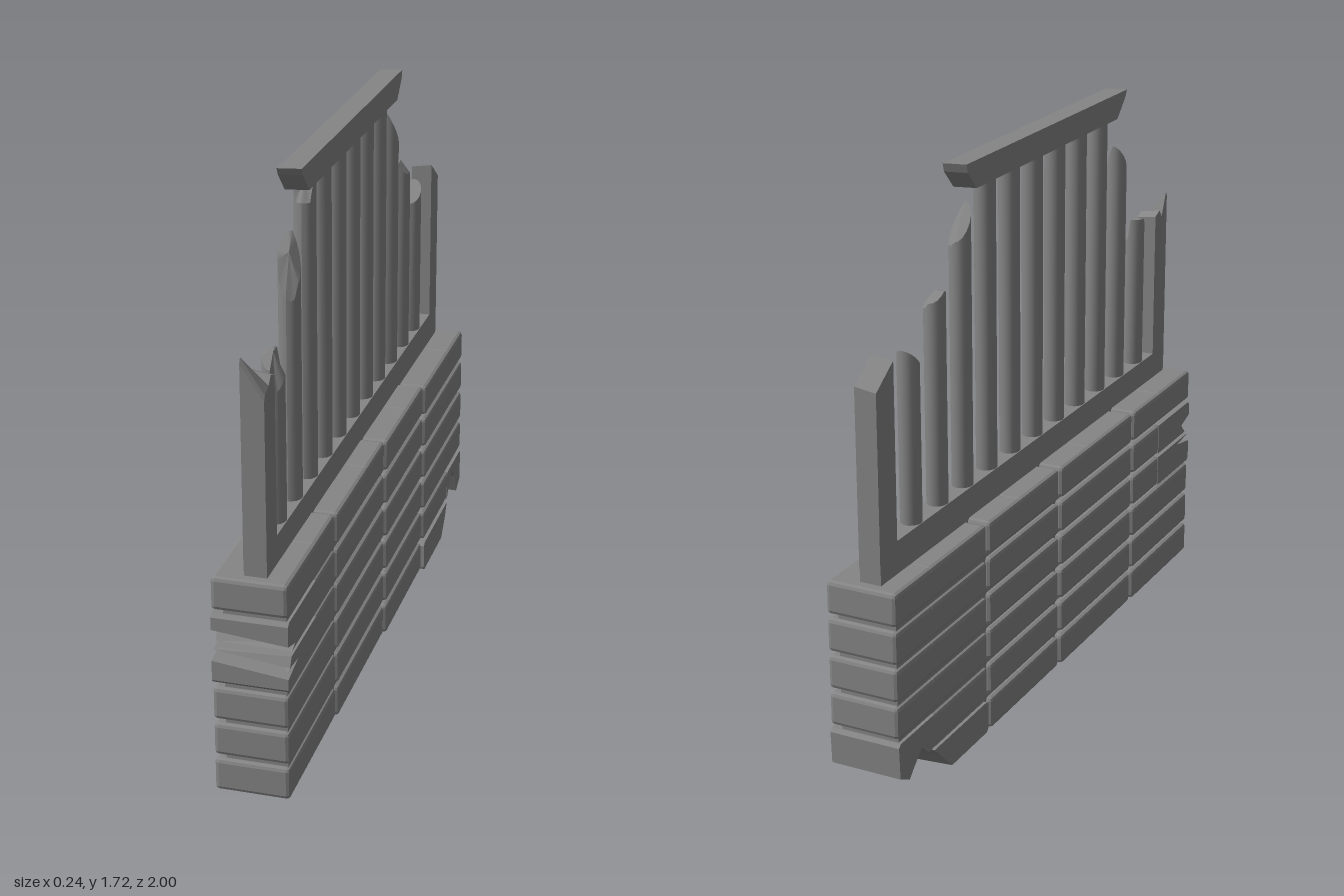
import * as THREE from 'three';
import { RoundedBoxGeometry } from 'three/addons/geometries/RoundedBoxGeometry.js';

const stone = new THREE.MeshStandardMaterial({ color: 0x858585, flatShading: true });
const metal = new THREE.MeshStandardMaterial({ color: 0x858585 });

// Side outline given as [z, y] points, extruded to a width in x
function slab(points, width) {
  const shape = new THREE.Shape(points.map(([z, y]) => new THREE.Vector2(z, y)));
  const g = new THREE.ExtrudeGeometry(shape, { depth: width, bevelEnabled: false });
  g.translate(0, 0, -width / 2);
  return g.rotateY(-Math.PI / 2);
}

// Move every vertex by a rule
function warp(geometry, rule) {
  const p = geometry.attributes.position;
  const v = new THREE.Vector3();
  for (let i = 0; i < p.count; i++) {
    v.fromBufferAttribute(p, i);
    rule(v);
    p.setXYZ(i, v.x, v.y, v.z);
  }
  geometry.computeVertexNormals();
  return geometry;
}

export function createModel() {
  const model = new THREE.Group();
  const wall = new THREE.Group();
  wall.name = 'brickWall';
  const fence = new THREE.Group();
  fence.name = 'fence';
  model.add(wall, fence);

  const add = (parent, name, geometry, material, x = 0, y = 0, z = 0) => {
    const mesh = new THREE.Mesh(geometry, material);
    mesh.name = name;
    mesh.position.set(x, y, z);
    parent.add(mesh);
    return mesh;
  };

  // Wall: six courses of four blocks, each a pair of bricks
  const R = 0.012, H = 0.1, PITCH = 0.1136, WIDTH = 0.22;
  const OVERLAP = 0.008; // leaves a fine joint between paired bricks
  const blocks = [
    { ends: [0.534, 0.735, 1.0], x: -0.012, dy: 0 },
    { ends: [0.002, 0.2, 0.53], x: -0.006, dy: -0.003 },
    { ends: [-0.464, -0.265, -0.002], x: 0.002, dy: -0.006 },
    { ends: [-1.0, -0.8, -0.468], x: 0.01, dy: -0.012 },
  ];
  // Broken bricks, keyed by block, half and course; null is missing
  const broken = {
    '0,1,3': [[0.735, 0.353], [0.99, 0.353], [1, 0.363], [1, 0.41], [0.9, 0.428], [0.985, 0.438],
      [0.97, 0.453], [0.735, 0.453]],
    '0,1,4': [[0.735, 0.467], [0.965, 0.467], [0.935, 0.488], [1, 0.508], [1, 0.557], [0.99, 0.567], [0.735, 0.567]],
    '3,1,0': [[-0.468, 0.01], [-0.478, 0], [-0.71, 0], [-0.76, 0.055], [-0.8, 0.1], [-0.478, 0.1], [-0.468, 0.09]],
    '3,0,0': null,
    '3,0,1': [[-0.8, 0.114], [-0.83, 0.13], [-0.872, 0.168], [-0.915, 0.13], [-0.945, 0.08],
      [-0.995, 0.106], [-1, 0.204], [-0.99, 0.214], [-0.8, 0.214]],
  };
  // Fractures slope across the thickness of the wall
  const fracture = (v) => {
    if (v.z < -0.81 && v.z > -0.93 && v.y < 0.2) v.y += v.x * 0.2;
    if (v.z < -0.7 && v.y < 0.06) v.z -= v.x * 0.12;
    if (v.z > 0.88 && v.y > 0.4 && v.y < 0.445) v.y -= v.x * 0.12;
    if (v.z > 0.92 && v.y > 0.48 && v.y < 0.515) v.y -= v.x * 0.1;
  };
  blocks.forEach(({ ends: [z0, mid, z1], x, dy }, i) => {
    for (let row = 0; row < 6; row++) {
      [[z0, mid + OVERLAP], [mid - OVERLAP, z1]].forEach(([a, b], half) => {
        const points = broken[`${i},${half},${row}`];
        if (points === null) return;
        if (points) {
          add(wall, 'brokenBrick', warp(slab(points, WIDTH), fracture), stone, x);
        } else {
          const y = 0.012 + row * PITCH + H / 2 + dy;
          add(wall, 'brick', new RoundedBoxGeometry(WIDTH, H, b - a, 1, R), stone, x, y, (a + b) / 2);
        }
      });
    }
  });
  const core = [[0.985, 0.03], [0.985, 0.4], [0.91, 0.42], [0.93, 0.49], [0.985, 0.51], [0.985, 0.655],
    [-0.985, 0.655], [-0.985, 0.15], [-0.92, 0.16], [-0.872, 0.19], [-0.8, 0.13], [-0.78, 0.09], [-0.69, 0.02]];
  add(wall, 'mortar', slab(core, 0.18), stone);

  // Fence rails
  const FX = -0.002, FW = 0.066;
  add(fence, 'bottomRail', slab([[0.966, 0.66], [-0.964, 0.66], [-0.964, 0.765], [0.966, 0.765]], FW), stone, FX);
  const topRail = slab([[0.625, 1.72], [0.615, 1.7], [0.555, 1.64], [-0.405, 1.64], [-0.458, 1.695], [-0.465, 1.72]], FW);
  warp(topRail, (v) => {
    if (v.z > 0.5 && v.x > 0) v.z -= 0.012;
    if (v.z < -0.4 && v.x < 0) v.z += 0.015;
  });
  add(fence, 'topRail', topRail, stone, FX);

  // Snapped end posts
  const frontPost = slab([[0.968, 0.7], [0.875, 0.7], [0.875, 1.245], [0.908, 1.258],
    [0.928, 1.235], [0.96, 1.31], [0.968, 1.295]], FW);
  warp(frontPost, (v) => { if (v.y > 1 && v.x > 0) v.y -= v.z > 0.93 ? 0.1 : 0.01; });
  add(fence, 'frontPost', frontPost, stone, FX);
  const backPost = slab([[-0.872, 0.7], [-0.966, 0.7], [-0.966, 1.232], [-0.872, 1.295]], FW);
  warp(backPost, (v) => { if (v.y > 1 && v.x < 0) v.y -= 0.01; });
  add(fence, 'backPost', backPost, stone, FX);

  // Round bars; each broken top follows a rule of local x and z
  const BR = 0.034;
  const tops = [
    (x, z) => 1.262 - Math.max(0, z) * 1.3 - (x > 0.01 ? 0.07 : 0),
    (x, z) => (z > 0.015 ? 1.45 - (z - 0.015) * 4 : 1.49 - z * 1.5) - (x > 0 ? x * 2 : 0),
    (x, z) => (z > 0.02 ? 1.59 : 1.65),
    null, null, null, null, null,
    (x, z) => 1.55 + z * 1.5 - Math.max(0, x) * 1.2,
    (x, z) => 1.395 - (z < 0 ? -z * 0.9 : z * 0.3) - Math.max(0, x) * 1.2,
    (x, z) => 1.243 - z * 0.95,
  ];
  tops.forEach((top, i) => {
    const base = 0.74;
    const bar = new THREE.CylinderGeometry(BR, BR, 1.65 - base, 16, 1);
    bar.translate(0, (1.65 - base) / 2 + base, 0);
    if (top) warp(bar, (v) => { if (v.y > 1) v.y = top(v.x, v.z); });
    add(fence, top ? 'brokenBar' : 'bar', bar, metal, FX, 0, 0.78 - i * 0.1515).scale.x = 0.92;
  });
  return model;
}
